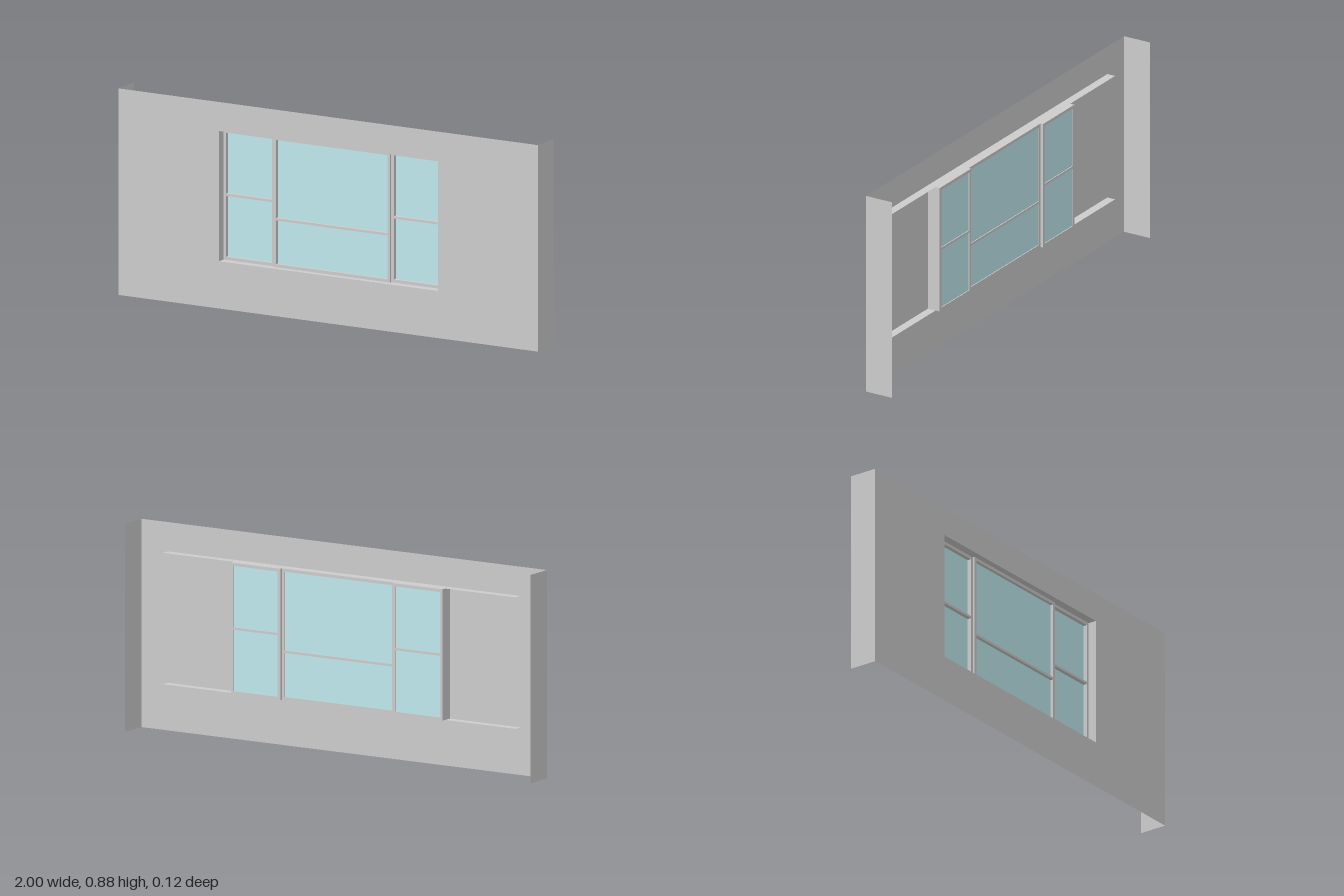
import * as THREE from 'three';

const grey = new THREE.MeshStandardMaterial({ color: 0xcccccc, side: THREE.DoubleSide });
const glassMat = new THREE.MeshStandardMaterial({ color: 0xbfe8ec, side: THREE.DoubleSide });

const HEIGHT = 0.875, FRONT = 0.0625, REVEAL_BACK = 0.025;
const HOLE = { x: 0.522, y0: 0.2, y1: 0.752 };

function add(parent, name, geometry, material = grey) {
  const mesh = new THREE.Mesh(geometry, material);
  mesh.name = name;
  parent.add(mesh);
  return mesh;
}

// Box given by its two opposite corners
function bar(parent, name, x0, x1, y0, y1, z0, z1) {
  add(parent, name, new THREE.BoxGeometry(x1 - x0, y1 - y0, z1 - z0))
    .position.set((x0 + x1) / 2, (y0 + y1) / 2, (z0 + z1) / 2);
}

// One sash: stiles, rails, a middle bar and a pane of glass
function sash(name, x0, x1, z0, z1, midY, t) {
  const g = new THREE.Group();
  g.name = name;
  const { y0, y1 } = HOLE;
  bar(g, 'stile', x0, x0 + t, y0, y1, z0, z1);
  bar(g, 'stile', x1 - t, x1, y0, y1, z0, z1);
  for (const [n, a, b] of [['bottomRail', y0, y0 + t], ['topRail', y1 - t, y1], ['middleBar', midY - 0.005, midY + 0.005]]) {
    bar(g, n, x0 + t, x1 - t, a, b, z0, z1);
  }
  add(g, 'glass', new THREE.PlaneGeometry(x1 - x0 - 2 * t, y1 - y0 - 2 * t), glassMat)
    .position.set((x0 + x1) / 2, (y0 + y1) / 2, z0 + 0.004);
  return g;
}

export function createModel() {
  const model = new THREE.Group();
  model.name = 'wallWithWindow';

  // Thin wall face with the window opening
  const face = new THREE.Shape([
    new THREE.Vector2(-1, 0), new THREE.Vector2(1, 0),
    new THREE.Vector2(1, HEIGHT), new THREE.Vector2(-1, HEIGHT),
  ]);
  face.holes.push(new THREE.Path([
    new THREE.Vector2(-HOLE.x, HOLE.y0), new THREE.Vector2(-HOLE.x, HOLE.y1),
    new THREE.Vector2(HOLE.x, HOLE.y1), new THREE.Vector2(HOLE.x, HOLE.y0),
  ]));
  add(model, 'wallFace', new THREE.ShapeGeometry(face)).position.z = FRONT;

  const depth = FRONT - REVEAL_BACK, midZ = (FRONT + REVEAL_BACK) / 2;
  for (const s of [-1, 1]) {
    // End returns running to the back
    const end = add(model, 'endReturn', new THREE.PlaneGeometry(2 * FRONT, HEIGHT).rotateY(s * Math.PI / 2));
    end.position.set(s, HEIGHT / 2, 0);
    // Jambs of the opening
    const jamb = add(model, 'jamb', new THREE.PlaneGeometry(depth, HOLE.y1 - HOLE.y0).rotateY(-s * Math.PI / 2));
    jamb.position.set(s * HOLE.x, (HOLE.y0 + HOLE.y1) / 2, midZ);
  }

  // Sill and head ledges continue past the opening behind the wall
  for (const [name, y] of [['sill', HOLE.y0], ['head', HOLE.y1]]) {
    add(model, name, new THREE.PlaneGeometry(1.74, depth).rotateX(-Math.PI / 2)).position.set(0, y, midZ);
  }

  // Three sashes, the side ones set further back
  model.add(sash('rightSash', -HOLE.x, -0.278, 0.005, 0.026, 0.476, 0.013));
  model.add(sash('centreSash', -0.278, 0.278, 0.017, 0.035, 0.403, 0.013));
  model.add(sash('leftSash', 0.278, HOLE.x, 0.005, 0.026, 0.476, 0.013));
  return model;
}
